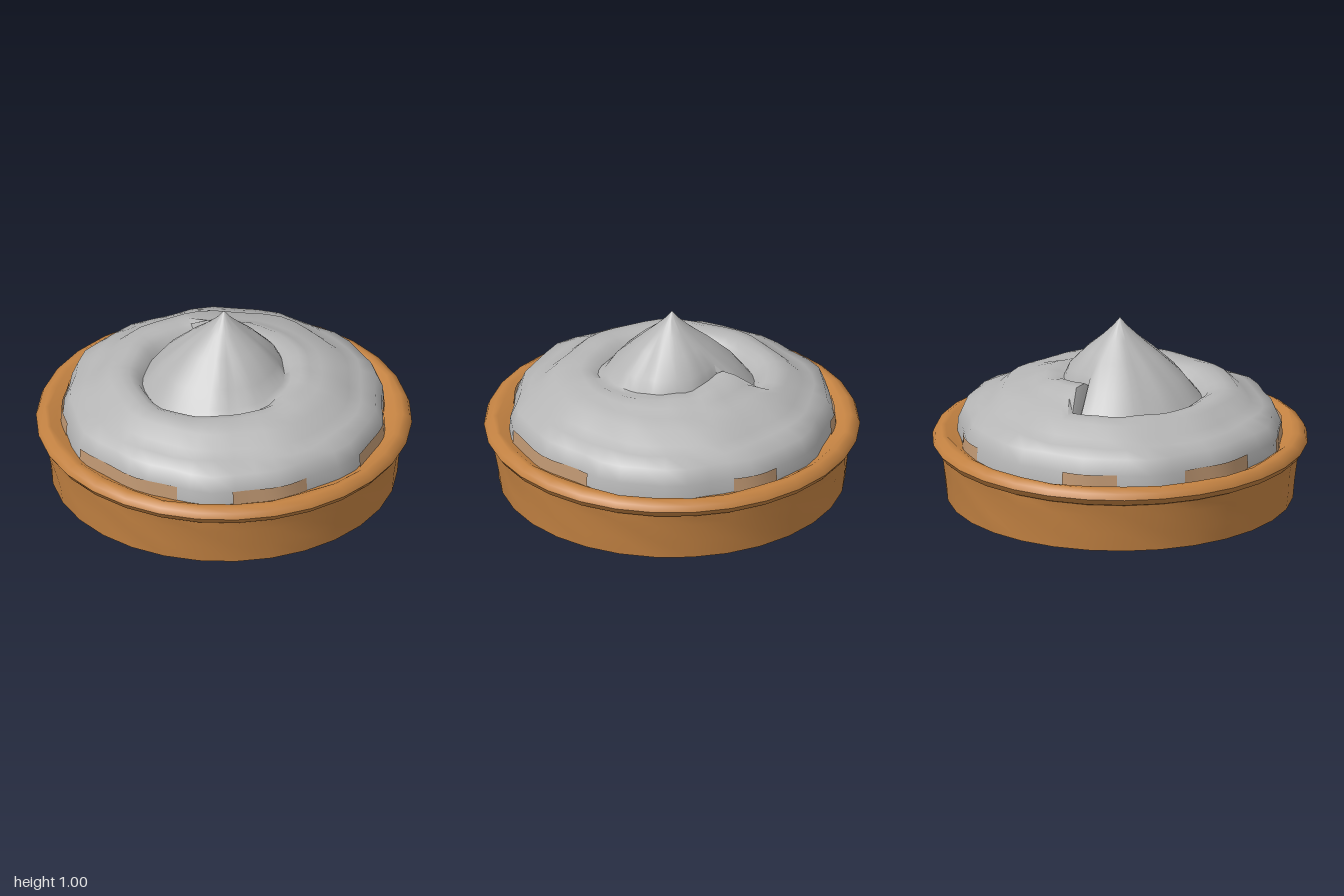
import * as THREE from 'three';
import { mergeVertices, toCreasedNormals } from 'three/addons/utils/BufferGeometryUtils.js';

const TAU = Math.PI * 2;
const material = (name, color, side = THREE.FrontSide) => {
  const m = new THREE.MeshStandardMaterial({ color, side });
  m.name = name;
  return m;
};

// Lathe whose profile may change with the angle: rule(phi) gives [radius, y] pairs.
function revolve(rule, segments, start = 0, sweep = TAU, crease = 0.7) {
  const rows = rule(start).length;
  const template = rule(start).map(([r, y]) => new THREE.Vector2(r, y));
  let geo = new THREE.LatheGeometry(template, segments, start, sweep);
  const pos = geo.attributes.position;
  for (let i = 0; i <= segments; i++) {
    const turn = sweep === TAU ? i % segments : i;
    const phi = start + (turn / segments) * sweep;
    rule(phi).forEach(([r, y], j) =>
      pos.setXYZ(i * rows + j, r * Math.sin(phi), y, r * Math.cos(phi)));
  }
  geo.deleteAttribute('uv');
  geo.deleteAttribute('normal');
  geo = mergeVertices(geo, 1e-4);
  geo.computeVertexNormals();
  return toCreasedNormals(geo, crease);
}

// Smooth hand-made unevenness that closes after one turn
const wobble = (phi, a, b, c) =>
  (Math.sin(a * phi + c) + Math.sin(b * phi + 2.3 * c)) / 2;

// Crust: base, leaning dented wall, rolled rim and inner lip
function crustProfile(phi) {
  const w = wobble(phi, 5, 11, 1.2);
  const dent = wobble(phi, 9, 14, 0.4);
  return [
    [0, 0], [0.86, 0.003], [0.915, 0.02],
    [0.925 + 0.008 * dent, 0.12], [0.935 - 0.012 * dent, 0.22],
    [0.945, 0.285], [0.968, 0.295],
    [0.992, 0.33], [0.98, 0.36], [0.945, 0.38],
    [0.915 + 0.015 * w, 0.377], [0.87 + 0.02 * w, 0.345], [0.8, 0.33],
  ];
}

// Cream: two soft tiers, then a groove that winds in under the peak
const SEAM = 2.45;
const swirlStart = [
  [0.5, 0.635], [0.43, 0.67], [0.37, 0.71], [0.3, 0.715], [0.262, 0.69],
  [0.25, 0.74], [0.17, 0.83],
];
const swirlEnd = [
  [0.55, 0.63], [0.5, 0.625], [0.46, 0.605], [0.43, 0.56], [0.4, 0.6],
  [0.33, 0.69], [0.2, 0.81],
];
function creamProfile(phi) {
  const u = (((SEAM - phi) / TAU) % 1 + 1) % 1;
  const t = Math.min(1, u * 1.5);
  const w = wobble(phi, 6, 13, 0.9);
  const v = wobble(phi, 4, 9, 2.1);
  const skirt = [
    [0.855 + 0.02 * w, 0.335], [0.85 + 0.02 * w, 0.415], [0.815 + 0.022 * w, 0.495],
    [0.74 + 0.02 * v, 0.53 + 0.008 * w], [0.675 + 0.018 * v, 0.555], [0.61 + 0.02 * v, 0.615],
  ];
  const swirl = swirlStart.map(([r, y], i) => [
    THREE.MathUtils.lerp(r, swirlEnd[i][0], t) + 0.008 * v,
    THREE.MathUtils.lerp(y, swirlEnd[i][1], t) + 0.006 * w,
  ]);
  return [...skirt, ...swirl, [0.095, 0.9], [0.035, 0.96], [0, 1.005]];
}

// Thin crust-stained band lying on the foot of the cream
const stainProfile = (phi) =>
  creamProfile(phi).slice(0, 2).map(([r, y]) => [r + 0.006, y + 0.005]);

export function createModel() {
  const group = new THREE.Group();
  group.name = 'creamPie';
  const add = (name, geometry, mat) => {
    const mesh = new THREE.Mesh(geometry, mat);
    mesh.name = name;
    group.add(mesh);
  };
  const crust = material('baked crust', 0xc38242);
  const cream = material('whipped cream', 0xb6b6b6);
  const stain = material('stained cream', 0xc09873, THREE.DoubleSide);

  add('crust', revolve(crustProfile, 30), crust);
  add('creamSwirl', revolve(creamProfile, 44, SEAM - TAU, TAU, 0.9), cream);

  // Start and end angles of the stains, measured from the front towards +x
  const stains = [[0.06, 0.8], [-0.85, -0.36], [-1.95, -1.2], [-2.75, -2.25], [2.75, 3.1], [1.75, 2.05]];
  stains.forEach(([a, b], i) =>
    add(`creamStain${i + 1}`, revolve(stainProfile, 8, a, b - a), stain));

  return group;
}
